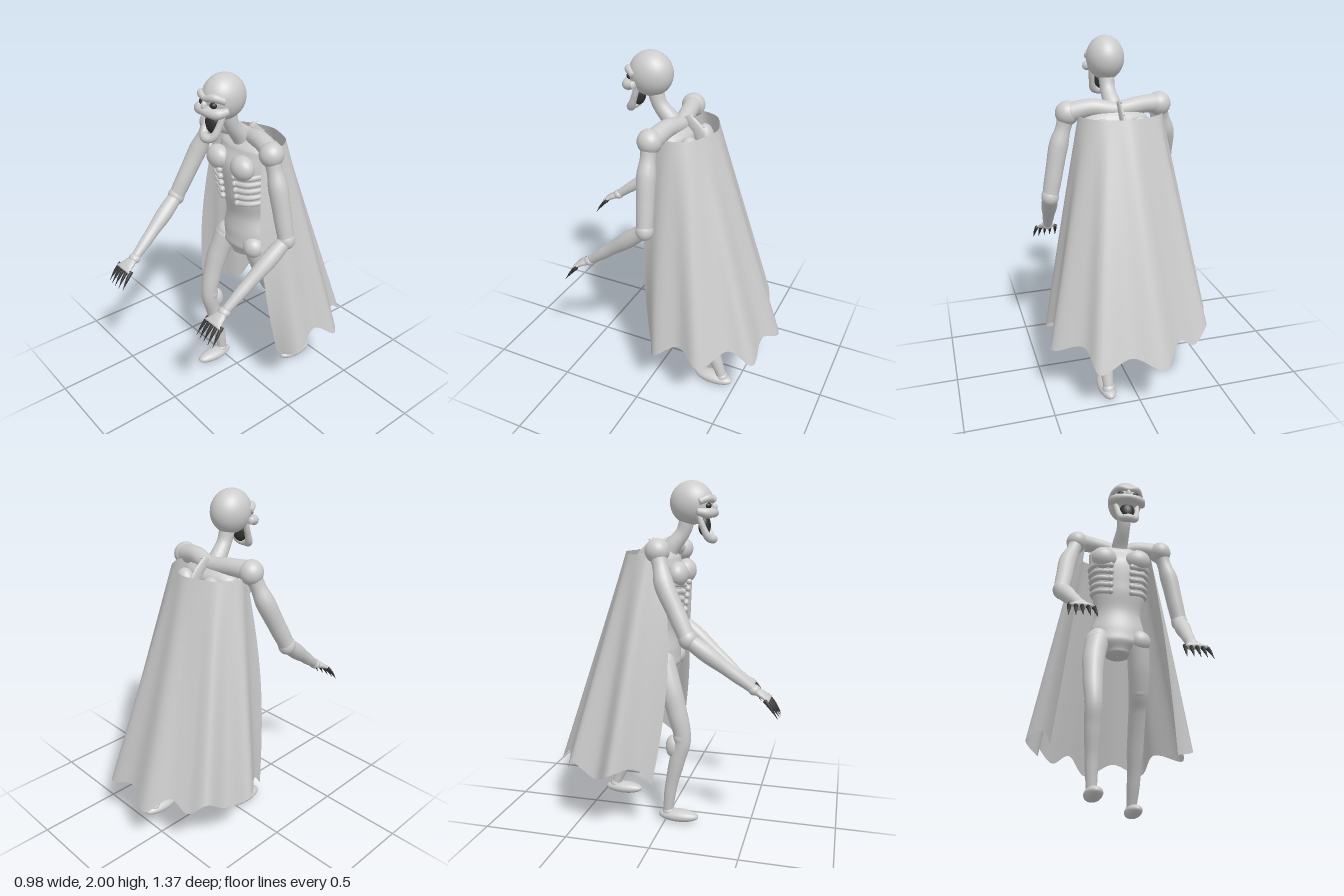
import * as THREE from 'three';

const grey = new THREE.MeshStandardMaterial({ color: 0xcccccc, side: THREE.DoubleSide });
grey.name = 'pale grey';
const dark = new THREE.MeshStandardMaterial({ color: 0x333333 });
dark.name = 'dark grey';

const X = new THREE.Vector3(1, 0, 0), Y = new THREE.Vector3(0, 1, 0);

// Smooth tube through [x, y, z, r1, r2] stations, closed at both ends
function sweep(name, pts, { mat = grey, ref = X, steps = 6, sides = 20 } = {}) {
  const curve = new THREE.CatmullRomCurve3(pts.map(p => new THREE.Vector3(p[0], p[1], p[2])));
  const n = (pts.length - 1) * steps, pos = [], idx = [];
  const ring = (t, k) => {
    const f = t * (pts.length - 1), i = Math.min(Math.floor(f), pts.length - 2);
    const s = THREE.MathUtils.smoothstep(f - i, 0, 1), a = pts[i], b = pts[i + 1];
    const r1 = k * THREE.MathUtils.lerp(a[3], b[3], s);
    const r2 = k * THREE.MathUtils.lerp(a[4] ?? a[3], b[4] ?? b[3], s);
    const c = curve.getPoint(t), d = curve.getTangent(t);
    const u = ref.clone().addScaledVector(d, -d.dot(ref)).normalize();
    const v = new THREE.Vector3().crossVectors(d, u);
    for (let j = 0; j < sides; j++) {
      const q = j / sides * Math.PI * 2;
      const p = c.clone().addScaledVector(u, Math.cos(q) * r1).addScaledVector(v, Math.sin(q) * r2);
      pos.push(p.x, p.y, p.z);
    }
  };
  ring(0, 0.001);
  for (let i = 0; i <= n; i++) ring(i / n, 1);
  ring(1, 0.001);
  for (let i = 0; i < n + 2; i++) for (let j = 0; j < sides; j++) {
    const a = i * sides + j, b = i * sides + (j + 1) % sides;
    idx.push(a, b, b + sides, a, b + sides, a + sides);
  }
  return meshFrom(name, pos, idx, mat);
}

function meshFrom(name, pos, idx, mat) {
  const g = new THREE.BufferGeometry();
  g.setAttribute('position', new THREE.Float32BufferAttribute(pos, 3));
  g.setIndex(idx);
  g.computeVertexNormals();
  const m = new THREE.Mesh(g, mat);
  m.name = name;
  return m;
}

function ball(name, [x, y, z], rx, ry = rx, rz = rx, mat = grey) {
  const m = new THREE.Mesh(new THREE.SphereGeometry(1, 32, 20), mat);
  m.position.set(x, y, z);
  m.scale.set(rx, ry, rz);
  m.name = name;
  return m;
}

function part(name, ...meshes) {
  const g = new THREE.Group();
  g.name = name;
  g.add(...meshes);
  return g;
}

function head() {
  const g = part('head',
    ball('skull', [0.03, 1.876, 0.11], 0.106, 0.123, 0.124),
    ball('upperJaw', [0.03, 1.825, 0.19], 0.068, 0.04, 0.06),
    ball('nose', [0.03, 1.85, 0.235], 0.016, 0.03, 0.022),
    ball('mouth', [0.03, 1.75, 0.185], 0.048, 0.06, 0.035, dark),
    sweep('brow', [[-0.06, 1.88, 0.17, 0.018], [-0.025, 1.9, 0.215, 0.022], [0.03, 1.888, 0.228, 0.018],
      [0.085, 1.9, 0.215, 0.022], [0.12, 1.88, 0.17, 0.018]], { ref: Y }),
    sweep('cheekbones', [[-0.07, 1.83, 0.16, 0.02], [-0.045, 1.82, 0.215, 0.028], [0.03, 1.822, 0.24, 0.022],
      [0.105, 1.82, 0.215, 0.028], [0.13, 1.83, 0.16, 0.02]], { ref: Y }),
    sweep('jaw', [[-0.035, 1.82, 0.16, 0.016], [-0.028, 1.75, 0.185, 0.018], [-0.01, 1.685, 0.215, 0.022],
      [0.03, 1.675, 0.235, 0.025], [0.07, 1.685, 0.215, 0.022], [0.088, 1.75, 0.185, 0.018],
      [0.095, 1.82, 0.16, 0.016]], { ref: new THREE.Vector3(0, 0.4, 1) }),
    sweep('neck', [[0.03, 1.8, 0.09, 0.045], [0.03, 1.71, 0.06, 0.042], [0.02, 1.62, -0.01, 0.05], [0.02, 1.54, -0.05, 0.06]]));
  for (const s of [-1, 1]) g.add(ball('eye', [0.03 + s * 0.045, 1.86, 0.213], 0.022, 0.018, 0.02, dark));
  return g;
}

function torso() {
  const g = part('torso',
    sweep('trunk', [[0.02, 1.63, -0.05, 0.1, 0.04], [0.02, 1.56, -0.05, 0.19, 0.09], [0.02, 1.45, -0.04, 0.185, 0.12],
      [0.02, 1.3, -0.05, 0.165, 0.115], [0.015, 1.15, -0.06, 0.142, 0.095], [0.015, 1.03, -0.06, 0.165, 0.105],
      [0.01, 0.95, -0.05, 0.16, 0.1], [0.01, 0.88, -0.04, 0.07, 0.06]], { sides: 32 }),
    sweep('shoulderGirdle', [[-0.25, 1.63, -0.015, 0.055], [-0.13, 1.63, -0.04, 0.048], [0.02, 1.615, -0.06, 0.045],
      [0.15, 1.63, -0.04, 0.05], [0.275, 1.605, -0.015, 0.055]], { ref: Y }),
    sweep('spineRidge', [[0.008, 1.66, -0.09, 0.012, 0.03], [0.008, 1.55, -0.18, 0.014, 0.04],
      [0.008, 1.4, -0.2, 0.014, 0.05], [0.008, 1.15, -0.16, 0.012, 0.03]]));
  // Back thorns along the spine
  for (const [y, z] of [[1.65, -0.09], [1.59, -0.14], [1.5, -0.19], [1.41, -0.2], [1.32, -0.2]])
    g.add(sweep('spineThorn', [[0.008, y, z, 0.014], [0.008, y + 0.022, z - 0.055, 0.002]], { sides: 8 }));
  for (const s of [-1, 1]) {
    const x = k => 0.015 + s * k;
    g.add(ball('pectoral', [x(0.105), 1.485, 0.06], 0.078, 0.07, 0.06),
      ball('shoulderBlade', [x(0.105), 1.5, -0.155], 0.065, 0.09, 0.055),
      ball('hipBone', [x(0.125), 0.97, -0.01], 0.065, 0.065, 0.06));
    // Ribs wrap from the flank to knobs beside the breastbone
    for (let i = 0; i < 5; i++) {
      const y = 1.43 - i * 0.042, w = 0.18 - i * 0.004, z = 0.085 - i * 0.006;
      g.add(sweep('rib', [[x(w - 0.02), y + 0.02, -0.1, 0.012], [x(w), y + 0.01, -0.02, 0.014],
        [x(w - 0.035), y + 0.003, z - 0.025, 0.015], [x(0.065), y - 0.006, z, 0.015]], { ref: Y, sides: 10 }),
        ball('ribKnob', [x(0.065), y - 0.006, z], 0.018));
    }
  }
  return g;
}

// Arm from shoulder, elbow and wrist, with five claws
function arm(name, S, B, E, W) {
  const mix = (a, b, t, r) => [0, 1, 2].map(i => a[i] + (b[i] - a[i]) * t).concat(r);
  const [x, y, z] = W;
  const g = part(name,
    ball('shoulder', S, 0.067, 0.068, 0.068),
    sweep('upperArm', [mix(S, B, 0, 0.05), mix(S, B, 0.45, 0.043), [...B, 0.054], mix(B, E, 0.55, 0.05), mix(B, E, 1, 0.046)]),
    ball('elbow', E, 0.05, 0.055, 0.05),
    sweep('forearm', [mix(E, W, 0, 0.042), mix(E, W, 0.28, 0.047), mix(E, W, 0.65, 0.036), mix(E, W, 1, 0.027)]),
    ball('wrist', W, 0.036, 0.03, 0.034),
    sweep('palm', [[x, y, z, 0.028, 0.024], [x, y - 0.02, z + 0.04, 0.045, 0.02], [x, y - 0.045, z + 0.085, 0.066, 0.013]]));
  for (let i = -2; i <= 2; i++) {
    const k = x + i * 0.03, d = i * i * 0.002;
    g.add(sweep('claw', [[k, y - 0.037, z + 0.07 - d, 0.012], [k + i * 0.003, y - 0.075, z + 0.105 - d, 0.009],
      [k + i * 0.006, y - 0.132, z + 0.145 - d, 0.001]], { mat: dark, sides: 8, steps: 3 }));
  }
  return g;
}

function leg(name, stations, knee, ankle, footZ) {
  return part(name,
    sweep('limb', stations),
    ball('knee', knee, 0.052, 0.06, 0.05),
    ball('ankle', ankle, 0.036),
    ball('foot', [ankle[0], 0.04, footZ], 0.05, 0.037, 0.122));
}

// Ragged cape ruled from collar to hem, so the folds fan out downwards
function cape() {
  const curve = a => new THREE.CatmullRomCurve3(a.map(p => new THREE.Vector3(...p)), false, 'centripetal');
  const top = curve([[-0.2, 1.6, 0], [-0.24, 1.6, -0.08], [-0.2, 1.6, -0.18], [-0.11, 1.6, -0.235], [0, 1.6, -0.265],
    [0.1, 1.6, -0.24], [0.18, 1.6, -0.2], [0.235, 1.6, -0.1], [0.21, 1.6, 0]]);
  const hem = curve([[-0.365, 0.32, -0.02], [-0.4, 0.42, -0.11], [-0.49, 0.4, -0.235], [-0.41, 0.34, -0.345],
    [-0.4, 0.43, -0.49], [-0.305, 0.35, -0.55], [-0.2, 0.41, -0.58], [-0.08, 0.31, -0.685], [0.09, 0.38, -0.63],
    [0.275, 0.32, -0.645], [0.33, 0.42, -0.51], [0.485, 0.36, -0.39], [0.44, 0.44, -0.25], [0.465, 0.34, -0.1],
    [0.355, 0.3, -0.03]]);
  const U = 140, V = 16, pos = [], idx = [];
  for (let i = 0; i <= U; i++) {
    const a = top.getPoint(i / U), b = hem.getPoint(i / U);
    const edge = Math.pow(Math.abs(i / U * 2 - 1), 10);
    for (let j = 0; j <= V; j++) {
      const p = a.clone().lerp(b, j / V);
      pos.push(p.x, p.y, p.z + edge * 0.06 * Math.sin(j / V * Math.PI));
      if (i < U && j < V) {
        const k = i * (V + 1) + j;
        idx.push(k, k + 1, k + V + 2, k, k + V + 2, k + V + 1);
      }
    }
  }
  return meshFrom('cape', pos, idx, grey);
}

export function createModel() {
  return part('cloakedGhoul', head(), torso(),
    arm('rightArm', [-0.25, 1.625, -0.015], [-0.31, 1.45, 0.04], [-0.355, 1.17, 0.18], [-0.29, 0.9, 0.535]),
    arm('leftArm', [0.28, 1.6, -0.005], [0.335, 1.42, -0.01], [0.395, 1.13, -0.025], [0.345, 0.8, 0.37]),
    leg('rightLeg', [[-0.11, 0.97, -0.02, 0.07], [-0.14, 0.83, 0.03, 0.066], [-0.15, 0.68, 0.075, 0.058],
      [-0.148, 0.53, 0.105, 0.05], [-0.148, 0.4, 0.075, 0.047], [-0.145, 0.22, 0.035, 0.037], [-0.14, 0.06, 0.015, 0.03]],
      [-0.148, 0.54, 0.1], [-0.14, 0.06, 0.02], 0.08),
    ball('rightCalf', [-0.148, 0.48, 0.05], 0.045, 0.07, 0.045),
    leg('leftLeg', [[0.13, 0.97, -0.03, 0.07], [0.145, 0.84, -0.07, 0.066], [0.155, 0.7, -0.13, 0.06],
      [0.158, 0.6, -0.19, 0.052], [0.165, 0.4, -0.29, 0.05], [0.168, 0.22, -0.36, 0.04], [0.165, 0.06, -0.42, 0.03]],
      [0.155, 0.7, -0.12], [0.165, 0.06, -0.42], -0.365),
    cape());
}
